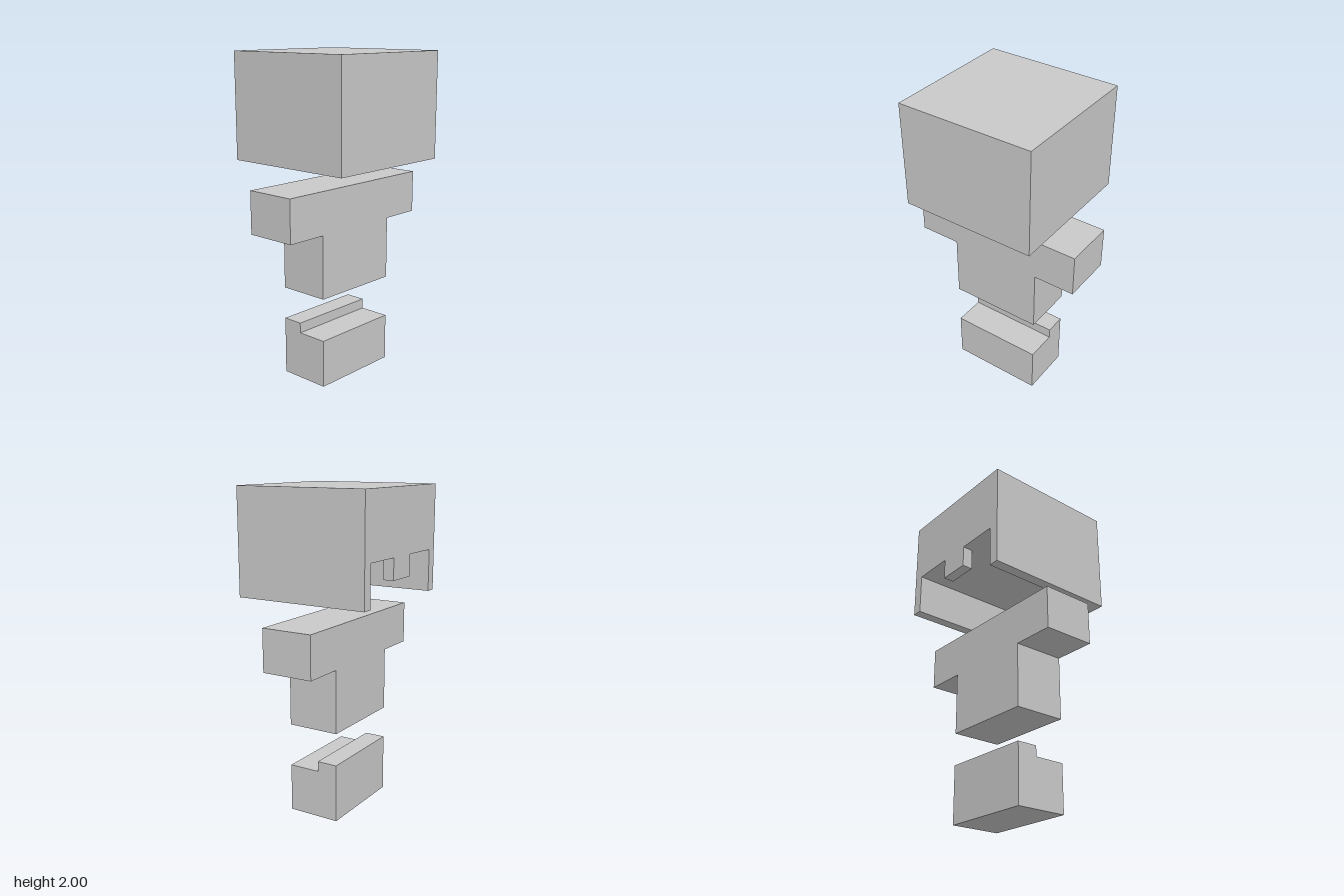
import * as THREE from 'three';

const U = 0.0656; // grid unit shared by all blocks

export function createModel() {
  const model = new THREE.Group();
  const grey = new THREE.MeshStandardMaterial({ color: 0xc8c8c8 });
  grey.name = 'light grey';

  const add = (parent, name, geometry) => {
    const mesh = new THREE.Mesh(geometry, grey);
    mesh.name = name;
    parent.add(mesh);
  };

  // Box given by its lower and upper corners
  const box = (x0, y0, z0, x1, y1, z1) =>
    new THREE.BoxGeometry(x1 - x0, y1 - y0, z1 - z0)
      .translate((x0 + x1) / 2, (y0 + y1) / 2, (z0 + z1) / 2);

  // Outline in x and y, extruded from z0 to z1
  const slab = (points, z0, z1) =>
    new THREE.ExtrudeGeometry(
      new THREE.Shape(points.map(([x, y]) => new THREE.Vector2(x, y))),
      { depth: z1 - z0, bevelEnabled: false }
    ).translate(0, 0, z0);

  // Helmet head: hollow below and open at the back, with a closed front
  const head = new THREE.Group();
  head.name = 'head';
  model.add(head);
  const h = 6.5 * U, inner = 5.5 * U, bottom = 1.35, ceiling = bottom + 3.9 * U;
  add(head, 'headShell', slab([
    [-h, bottom], [-inner, bottom], [-inner, ceiling], [inner, ceiling],
    [inner, bottom], [h, bottom], [h, 2], [-h, 2],
  ], -h, inner));
  add(head, 'headFront', box(-h, bottom, inner, h, 2, h));
  add(head, 'backTab', box(-1.5 * U, ceiling - 2 * U, -h, 1.5 * U, ceiling, -inner));

  // Torso with stubby arms as one T-shaped block
  const b = 4.5 * U, a = 8.5 * U, d = 2.5 * U;
  add(model, 'torsoAndArms', slab([
    [-b, 0.563], [b, 0.563], [b, 0.955], [a, 0.955],
    [a, 1.219], [-a, 1.219], [-a, 0.955], [-b, 0.955],
  ], -d, d));

  // Stepped leg block, higher at the back; its side outline is turned to run along x
  const legs = slab([
    [-d, 0], [d, 0], [d, 0.361], [0.5 * U, 0.361], [0.5 * U, 0.297], [-d, 0.297],
  ], -b, b).rotateY(Math.PI / 2);
  add(model, 'legs', legs);

  return model;
}
